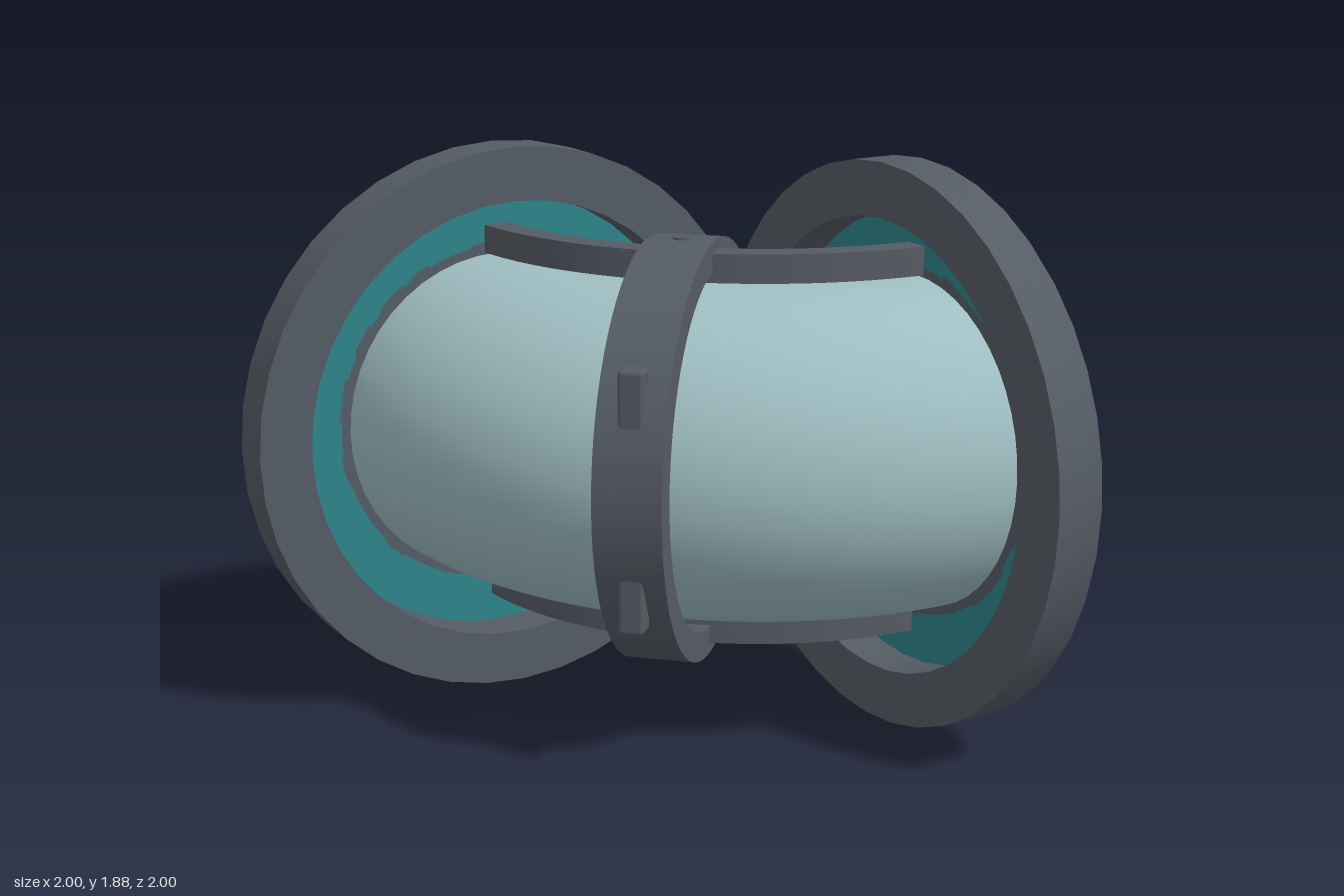
import * as THREE from 'three';
import { toCreasedNormals } from 'three/addons/utils/BufferGeometryUtils.js';
import { RoundedBoxGeometry } from 'three/addons/geometries/RoundedBoxGeometry.js';

const CY = 0.94;      // height of the pipe axis
const BEND = 1.06;    // bend radius, centred on (1, CY, -1)

function material(name, color) {
  const m = new THREE.MeshStandardMaterial({ color });
  m.name = name;
  return m;
}

function add(parent, name, geometry, mat) {
  const mesh = new THREE.Mesh(geometry, mat);
  mesh.name = name;
  parent.add(mesh);
  return mesh;
}

// Closed ring turned around y from [radius, height] corners
function ring(corners, segments) {
  const pts = [...corners, corners[0]].map(([r, h]) => new THREE.Vector2(r, h));
  return toCreasedNormals(new THREE.LatheGeometry(pts, segments), 0.5);
}

function washer(inner, outer, low, high, segments) {
  return ring([[inner, low], [outer, low], [outer, high], [inner, high]], segments);
}

export function createModel() {
  const model = new THREE.Group();
  model.name = 'pipeElbow';
  const dark = material('dark grey', 0x555c64);
  const teal = material('teal', 0x2c848c);
  const glass = material('pale blue', 0x9fbec2);

  // Quarter bend of pipe
  const pipe = new THREE.TorusGeometry(BEND, 0.56, 48, 48, Math.PI / 2);
  pipe.rotateZ(Math.PI / 2).rotateX(Math.PI / 2).translate(1, CY, -1);
  add(model, 'pipe', pipe, glass);

  // Flanged ends, built with local y pointing outwards
  function flange(name) {
    const g = new THREE.Group();
    g.name = name;
    add(g, 'flangeRim', ring([[0.76, 0.8], [0.94, 0.8], [0.94, 0.96], [0.91, 0.99], [0.76, 0.99]], 40), dark);
    add(g, 'tealSeal', washer(0.59, 0.765, 0.95, 0.989, 64), teal);
    add(g, 'collar', washer(0.515, 0.6, 0.95, 1.0, 64), dark);
    const cap = new THREE.CylinderGeometry(0.53, 0.53, 0.02, 64);
    cap.translate(0, 0.985, 0);
    add(g, 'endCap', cap, glass);
    model.add(g);
    return g;
  }
  const side = flange('sideFlange');
  side.position.set(0, CY, 0.06);
  side.rotation.z = -Math.PI / 2;
  const back = flange('backFlange');
  back.position.set(-0.06, CY, 0);
  back.rotation.x = -Math.PI / 2;

  // Curved rails above and below the pipe
  const arc = new THREE.Shape();
  arc.absarc(0, 0, BEND + 0.045, Math.PI / 2, Math.PI, false);
  arc.absarc(0, 0, BEND - 0.045, Math.PI, Math.PI / 2, true);
  for (const [name, top] of [['topRail', 0.66], ['bottomRail', -0.565]]) {
    const rail = new THREE.ExtrudeGeometry(arc, { depth: 0.095, bevelEnabled: false, curveSegments: 32 });
    rail.rotateX(Math.PI / 2).translate(1, CY + top, -1);
    add(model, name, toCreasedNormals(rail, 0.5), dark);
  }

  // Clamp band around the middle of the bend
  const clamp = new THREE.Group();
  clamp.name = 'clamp';
  clamp.position.set(0.25, CY, -0.25);
  clamp.rotation.y = Math.PI / 4;
  model.add(clamp);
  add(clamp, 'clampBand', washer(0.6, 0.697, -0.11, 0.11, 64).rotateX(Math.PI / 2), dark);

  for (const v of [1, -1]) {
    // Screws at top and bottom
    const screw = new THREE.CylinderGeometry(0.03, 0.03, 0.03, 20);
    add(clamp, 'clampScrew', screw, dark).position.y = v * 0.688;
    // Upright lugs on both flanks
    for (const u of [1, -1]) {
      const lug = new RoundedBoxGeometry(0.082, 0.2, 0.082, 1, 0.014);
      add(clamp, 'clampLug', lug, dark).position.set(u * 0.612, v * 0.32, 0);
    }
  }
  return model;
}
